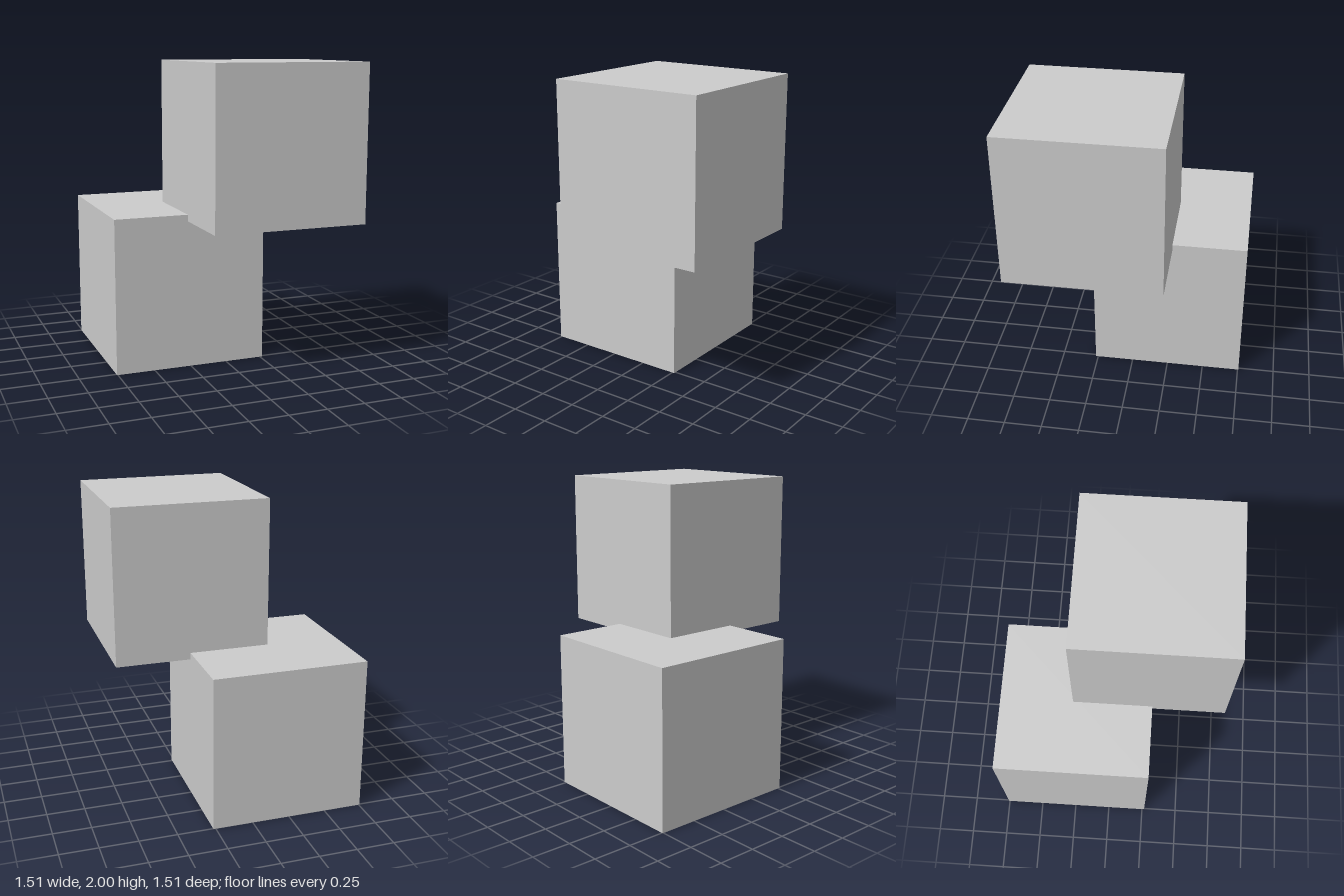
import * as THREE from 'three';

const SIZE = 1.022;    // edge of each cube
const OFFSET = 0.245;  // diagonal shift from the centre in x and z

export function createModel() {
  const model = new THREE.Group();
  model.name = 'stackedCubes';
  const material = new THREE.MeshStandardMaterial({ color: 0xcccccc, flatShading: true });
  const geometry = new THREE.BoxGeometry(SIZE, SIZE, SIZE);

  // Two equal cubes, slightly overlapping in height and shifted in opposite diagonals
  const addCube = (name, shift, y) => {
    const cube = new THREE.Mesh(geometry, material);
    cube.name = name;
    cube.position.set(shift, y, shift);
    model.add(cube);
  };
  addCube('lowerCube', -OFFSET, SIZE / 2);
  addCube('upperCube', OFFSET, 2 - SIZE / 2);

  return model;
}
